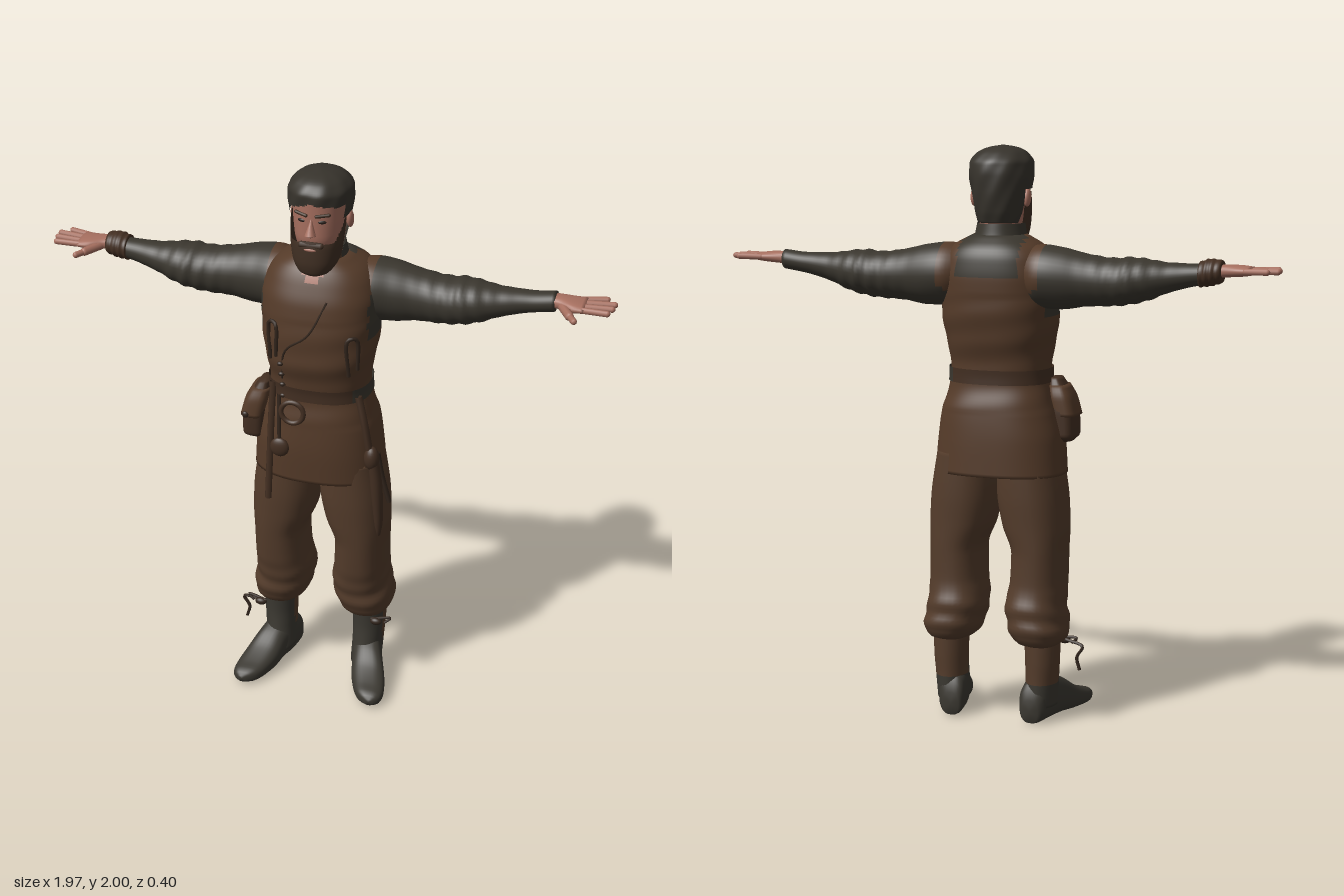
import * as THREE from 'three';

const mat = (name, color) => {
  const m = new THREE.MeshStandardMaterial({ color, side: THREE.DoubleSide });
  m.name = name;
  return m;
};

// Smooth monotone interpolation of section rows [t, centre, halfWidth, low, high]
function at(S, t) {
  let i = 0;
  while (i < S.length - 2 && t > S[i + 1][0]) i++;
  const slope = (k, c) => (S[k + 1][c] - S[k][c]) / (S[k + 1][0] - S[k][0]);
  const tangent = (k, c) => {
    if (k === 0) return slope(0, c);
    if (k === S.length - 1) return slope(k - 1, c);
    const a = slope(k - 1, c), b = slope(k, c);
    return a * b > 0 ? 2 * a * b / (a + b) : 0;
  };
  const h = S[i + 1][0] - S[i][0], u = (t - S[i][0]) / h, u2 = u * u, u3 = u2 * u;
  return [1, 2, 3, 4].map(c => S[i][c] * (2 * u3 - 3 * u2 + 1) + S[i + 1][c] * (3 * u2 - 2 * u3)
    + h * (tangent(i, c) * (u3 - 2 * u2 + u) + tangent(i + 1, c) * (u3 - u2)));
}

// Skin rounded sections along an axis; pick chooses a material per quad, -1 leaves it open
function loft(name, S, mats, o = {}) {
  const { axis = 'y', s = 1, n = 2, rows = 30, seg = 36, pick = () => 0, fold = () => 1, cap = true } = o;
  const t0 = S[0][0], t1 = S[S.length - 1][0], pos = [], groups = mats.map(() => []);
  const sp = v => Math.sign(v) * Math.abs(v) ** (2 / n);
  const first = cap ? -1 : 0, last = cap ? rows + 1 : rows;
  for (let i = first; i <= last; i++) {
    const t = t0 + (t1 - t0) * Math.min(1, Math.max(0, i / rows));
    const [c, r, lo, hi] = at(S, t), shut = i < 0 || i > rows ? 0 : 1;
    for (let j = 0; j < seg; j++) {
      const a = j / seg * Math.PI * 2, k = shut * fold(t, a);
      const u = c + r * k * sp(Math.cos(a)), v = (lo + hi) / 2 + (hi - lo) / 2 * k * sp(Math.sin(a));
      const p = axis === 'y' ? [u, t, v] : axis === 'x' ? [t, v, u] : [u, v, t];
      pos.push(p[0] * s, p[1], p[2]);
    }
  }
  const flip = (axis === 'z') !== (s < 0);
  for (let i = 0; i < last - first; i++) for (let j = 0; j < seg; j++) {
    const a = i * seg + j, b = i * seg + (j + 1) % seg, c = a + seg, d = b + seg;
    const m = [0, 1, 2].map(k => (pos[a * 3 + k] + pos[b * 3 + k] + pos[c * 3 + k] + pos[d * 3 + k]) / 4);
    const g = pick(...m);
    if (g >= 0) groups[g].push(...(flip ? [a, b, c, b, d, c] : [a, c, b, b, c, d]));
  }
  const geo = new THREE.BufferGeometry();
  geo.setAttribute('position', new THREE.Float32BufferAttribute(pos, 3));
  geo.setIndex(groups.flat());
  let start = 0;
  groups.forEach((g, k) => { geo.addGroup(start, g.length, k); start += g.length; });
  geo.computeVertexNormals();
  const mesh = new THREE.Mesh(geo, mats);
  mesh.name = name;
  return mesh;
}

export function createModel() {
  const root = new THREE.Group();
  root.name = 'beardedMan';
  const cloth = mat('brown cloth', 0x553b29), trouser = mat('trouser brown', 0x543c2b);
  const dark = mat('dark shirt', 0x3a362e), skin = mat('skin', 0xa66f5f), hair = mat('hair', 0x37332c);
  const beard = mat('beard', 0x402f23), boot = mat('boot', 0x3b3831), leather = mat('leather', 0x432f22);
  const ink = mat('eye dark', 0x2a201b), cord = mat('cord', 0x33261d);
  const add = (...m) => root.add(...m);
  const put = (name, geo, m, p, r = [0, 0, 0], sc = [1, 1, 1]) => {
    const mesh = new THREE.Mesh(geo, m);
    mesh.name = name;
    mesh.position.set(...p); mesh.rotation.set(...r); mesh.scale.set(...sc);
    add(mesh);
    return mesh;
  };
  const ball = (name, m, p, sc, r) => put(name, new THREE.SphereGeometry(1, 20, 14), m, p, r, sc);
  const tube = (name, m, pts, r) => put(name, new THREE.TubeGeometry(
    new THREE.CatmullRomCurve3(pts.map(p => new THREE.Vector3(...p))), 24, r, 6), m, [0, 0, 0]);
  const capsule = (name, m, a, b, r) => {
    const A = new THREE.Vector3(...a), B = new THREE.Vector3(...b), d = B.clone().sub(A);
    const mesh = put(name, new THREE.CapsuleGeometry(r, d.length(), 5, 10), m, A.clone().add(B).multiplyScalar(0.5).toArray());
    mesh.quaternion.setFromUnitVectors(new THREE.Vector3(0, 1, 0), d.normalize());
  };

  // Tunic: skirt, waist, chest, shoulders, with open neck and dark yoke
  const torso = [[0.88, -0.005, 0.232, -0.19, 0.135], [1.0, -0.005, 0.222, -0.185, 0.14], [1.1, 0, 0.203, -0.175, 0.135],
    [1.21, 0, 0.174, -0.152, 0.122], [1.26, 0, 0.174, -0.155, 0.13], [1.35, 0, 0.19, -0.175, 0.15], [1.45, 0, 0.202, -0.19, 0.148],
    [1.55, 0, 0.205, -0.193, 0.135], [1.62, 0, 0.188, -0.185, 0.11], [1.66, 0, 0.16, -0.168, 0.09], [1.7, 0, 0.09, -0.12, 0.06]];
  add(loft('tunic', torso, [cloth, dark, skin], { n: 2.4, rows: 72, seg: 72,
    fold: (t, a) => 1 + (t < 1.5 && t > 1.1 ? 0.008 * Math.sin(t * 60 + 2 * a) : 0),
    pick: (x, y, z) => z > 0.02 && Math.abs(x) < (y - 1.615) * 0.7 ? 2
      : (y > 1.56 && z < -0.04 && Math.abs(x) < 0.11) || (Math.abs(x) > 0.185 && y > 1.43) ? 1 : 0 }));
  const onFront = (x, y, lift = 0.006) => {
    const [c, r, lo, hi] = at(torso, y), q = Math.min(1, Math.abs((x - c) / r));
    return [x, y, (lo + hi) / 2 + (hi - lo) / 2 * (1 - q ** 2.4) ** (1 / 2.4) + lift];
  };
  add(loft('belt', [1.195, 1.22, 1.245].map(y => { const [c, r, lo, hi] = at(torso, y); return [y, c, r + 0.006, lo - 0.006, hi + 0.006]; }),
    [leather, dark], { n: 2.4, rows: 4, seg: 60, cap: false, pick: x => x > 0.14 ? 1 : 0 }));
  add(loft('collar', [[1.63, 0, 0.11, -0.15, 0.085], [1.69, 0, 0.09, -0.12, 0.075], [1.745, 0, 0.08, -0.108, 0.08]], [dark, cloth],
    { rows: 16, seg: 60, cap: false, pick: (x, y, z) => y > 1.735 + (z > 0 ? -z * 0.5 : 0) || (z > 0 && Math.abs(x) < 0.015 + (y - 1.62) * 0.6) ? -1 : z > 0.02 ? 1 : 0 }));

  // Chest seam and lacing
  tube('tunicSeam', cord, [[0.06, 1.58], [0, 1.46], [-0.08, 1.39], [-0.1, 1.27]].map(p => onFront(...p, 0.001)), 0.004);
  [[-0.13, 1.42], [0.145, 1.39]].forEach(([x, y]) => {
    tube('chestLace', cord, [[x - 0.012, y - 0.08], [x - 0.012, y + 0.06], [x + 0.012, y + 0.06], [x + 0.014, y - 0.06]].map(p => onFront(...p)), 0.007);
  });
  for (let i = 0; i < 4; i++) ball('toggle', cord, onFront(-0.1, 1.2 + i * 0.045, 0.004), [0.011, 0.008, 0.008]);

  // Head and neck
  add(loft('head', [[1.58, 0, 0.075, -0.09, 0.05], [1.68, 0, 0.064, -0.09, 0.05], [1.74, 0, 0.074, -0.1, 0.085], [1.79, 0, 0.082, -0.105, 0.102],
    [1.86, 0, 0.088, -0.11, 0.102], [1.92, 0, 0.088, -0.11, 0.102], [1.97, 0, 0.05, -0.07, 0.06]], [skin], { n: 2.2 }));
  add(loft('beard', [[1.655, 0, 0.03, 0.03, 0.095], [1.668, 0, 0.056, -0.01, 0.112], [1.71, 0, 0.078, -0.04, 0.12], [1.76, 0, 0.086, -0.05, 0.118],
    [1.8, 0, 0.089, -0.06, 0.11], [1.87, 0, 0.093, -0.06, 0.104]], [beard], { n: 2.3, rows: 40, seg: 72,
    pick: (x, y, z) => z < -0.03 || (y > 1.785 - Math.abs(x) * 0.1 && z > 0.15 - (y - 1.7) * 0.85) ? -1 : 0 }));
  add(loft('hair', [[1.74, 0, 0.075, -0.108, 0.06], [1.78, 0, 0.088, -0.122, 0.1], [1.85, 0, 0.1, -0.132, 0.112], [1.9, 0.002, 0.108, -0.134, 0.118],
    [1.94, 0.003, 0.107, -0.128, 0.122], [1.972, 0.002, 0.086, -0.1, 0.102], [1.992, 0, 0.05, -0.06, 0.062], [2.0, 0, 0.004, -0.01, 0.01]], [hair],
    { n: 2.1, rows: 48, seg: 72, fold: (t, a) => 1 + 0.012 * Math.sin(9 * a + t * 50),
      pick: (x, y, z) => z < -0.045 || (y > 1.855 && z < 0.045) || y > 1.918 - Math.abs(x) * 0.25 + x * 0.08 ? 0 : -1 }));
  put('nose', new THREE.ConeGeometry(0.019, 0.062, 12), skin, [0, 1.836, 0.106], [-0.22, 0, 0]);
  ball('noseTip', skin, [0, 1.812, 0.112], [0.017, 0.012, 0.014]);
  ball('mouth', skin, [0, 1.757, 0.115], [0.022, 0.006, 0.006]);
  capsule('moustache', beard, [-0.033, 1.771, 0.106], [0.033, 1.771, 0.106], 0.011);
  for (const s of [-1, 1]) {
    ball('eye', ink, [s * 0.035, 1.851, 0.094], [0.014, 0.006, 0.005], [0, s * 0.3, 0]);
    capsule('eyebrow', beard, [s * 0.018, 1.872, 0.102], [s * 0.056, 1.876, 0.088], 0.006);
    ball('ear', skin, [s * 0.096, 1.825, -0.022], [0.012, 0.032, 0.02], [0.2, 0, 0]);
  }

  for (const s of [-1, 1]) {
    // Sleeve with bunched folds at the elbow
    add(loft('sleeve', [[0.09, -0.06, 0.08, 1.5, 1.655], [0.17, -0.07, 0.11, 1.455, 1.672], [0.24, -0.077, 0.1, 1.455, 1.664],
      [0.33, -0.076, 0.087, 1.468, 1.644], [0.42, -0.073, 0.086, 1.472, 1.633], [0.48, -0.072, 0.09, 1.48, 1.637], [0.54, -0.071, 0.076, 1.495, 1.632],
      [0.6, -0.071, 0.058, 1.52, 1.624], [0.7, -0.075, 0.042, 1.548, 1.622], [0.785, -0.077, 0.037, 1.562, 1.63]], [dark, cloth],
      { axis: 'x', s, rows: 60, fold: (t, a) => 1 + 0.035 * Math.exp(-(((t - 0.48) / 0.12) ** 2)) * Math.sin(t * 120 + 2 * Math.sin(a)),
        pick: (x, y) => Math.abs(x) < 0.185 && y > 1.52 ? 1 : 0 }));
    // Hand
    add(loft('palm', [[0.75, -0.077, 0.028, 1.575, 1.622], [0.8, -0.071, 0.035, 1.58, 1.622], [0.85, -0.06, 0.05, 1.583, 1.62], [0.885, -0.062, 0.053, 1.588, 1.616]],
      [skin], { axis: 'x', s, n: 2.4, rows: 14, seg: 24 }));
    [[-0.104, -0.12, 0.945], [-0.077, -0.088, 0.975], [-0.048, -0.053, 0.972], [-0.022, -0.016, 0.962]].forEach(([z0, z1, x]) =>
      capsule('finger', skin, [s * 0.87, 1.602, z0], [s * x, 1.604, z1], 0.0105));
    capsule('thumb', skin, [s * 0.81, 1.596, -0.045], [s * 0.845, 1.594, 0.015], 0.015);
    capsule('thumbTip', skin, [s * 0.845, 1.594, 0.015], [s * 0.865, 1.592, 0.045], 0.011);

    // Baggy trouser leg gathered below the knee
    add(loft('trouserLeg', [[0.28, 0.167, 0.058, -0.135, 0.015], [0.3, 0.162, 0.088, -0.18, 0.05], [0.35, 0.155, 0.104, -0.192, 0.066], [0.42, 0.143, 0.103, -0.186, 0.075],
      [0.5, 0.148, 0.096, -0.166, 0.09], [0.6, 0.15, 0.094, -0.164, 0.1], [0.7, 0.134, 0.113, -0.165, 0.108], [0.8, 0.122, 0.12, -0.167, 0.112],
      [0.95, 0.11, 0.108, -0.165, 0.11]], [trouser], { s, n: 2.3, rows: 54,
      fold: (t, a) => 1 + 0.03 * Math.exp(-(((t - 0.37) / 0.08) ** 2)) * Math.sin(t * 85 + 3 * Math.sin(a)) }));
    // Wrapped shin and boot shaft
    add(loft('bootShaft', [[0.06, 0.165, 0.055, -0.135, 0.04], [0.15, 0.168, 0.057, -0.135, 0.012], [0.22, 0.17, 0.06, -0.137, 0.004], [0.31, 0.17, 0.063, -0.138, 0.008]],
      [boot, trouser], { s, rows: 24, pick: (x, y, z) => y < 0.14 || (z > -0.045 && y < 0.275) ? 0 : 1 }));
    // Foot turned outward
    add(loft('bootFoot', [[-0.143, 0.147, 0.03, 0.01, 0.09], [-0.125, 0.15, 0.046, 0.004, 0.14], [-0.05, 0.165, 0.056, 0.005, 0.17], [0.01, 0.185, 0.058, 0.008, 0.145],
      [0.08, 0.207, 0.063, 0.006, 0.098], [0.14, 0.226, 0.057, 0.006, 0.072], [0.18, 0.237, 0.042, 0.01, 0.06], [0.2, 0.242, 0.015, 0.02, 0.045]],
      [boot], { axis: 'z', s, n: 2.6, rows: 32 }));
    // Knee ties
    ball('tieKnot', cord, [s * 0.22, 0.272, 0.03], [0.022, 0.014, 0.014]);
    tube('kneeTie', cord, [[s * 0.2, 0.28, 0.03], [s * 0.27, 0.285, 0.015], [s * 0.25, 0.265, 0.02]], 0.005);
  }
  tube('tieEnd', cord, [[-0.23, 0.275, 0.02], [-0.295, 0.26, 0], [-0.275, 0.22, 0], [-0.285, 0.175, 0]], 0.006);

  // Wrist band
  add(loft('wristBand', [[0.715, -0.076, 0.046, 1.546, 1.63], [0.75, -0.077, 0.05, 1.55, 1.64], [0.79, -0.076, 0.043, 1.562, 1.636]], [leather],
    { axis: 'x', s: -1, rows: 16, fold: t => 1 + 0.04 * Math.sin(t * 300) }));

  // Belt pouch with flap
  add(loft('pouch', [[0.99, -0.225, 0.025, -0.02, 0.06], [1.01, -0.225, 0.042, -0.045, 0.085], [1.08, -0.222, 0.043, -0.045, 0.088], [1.16, -0.205, 0.034, -0.035, 0.075],
    [1.21, -0.19, 0.018, -0.015, 0.055]], [leather], { n: 3 }));
  add(loft('pouchFlap', [[1.08, -0.228, 0.045, -0.045, 0.092], [1.14, -0.214, 0.043, -0.043, 0.086], [1.185, -0.2, 0.034, -0.03, 0.07]], [cloth], { n: 3, rows: 10 }));
  ball('pouchButton', cord, [-0.245, 1.09, 0.09], [0.012, 0.012, 0.008]);

  // Hanging straps, ring and purse
  tube('longStrap', leather, [[-0.14, 1.24], [-0.142, 1.1], [-0.145, 0.96]].map(p => onFront(...p, 0.01)).concat([[-0.148, 0.8, 0.14]]), 0.012);
  tube('thinStrap', cord, [[-0.115, 1.2], [-0.11, 1.1], [-0.105, 1.02]].map(p => onFront(...p, 0.008)), 0.007);
  ball('smallPurse', leather, onFront(-0.105, 1.01, 0.008), [0.034, 0.036, 0.016]);
  put('beltRing', new THREE.TorusGeometry(0.04, 0.009, 8, 28), leather, onFront(-0.06, 1.15, 0.008));

  // Sheath and strap on the left hip
  tube('sheathHanger', leather, [[0.16, 1.22, 0.08], [0.185, 1.12, 0.09], [0.205, 1.0, 0.085]], 0.013);
  ball('sheathMouth', leather, [0.21, 0.99, 0.085], [0.027, 0.045, 0.026]);
  add(loft('sheath', [[0.665, 0.232, 0.006, 0.05, 0.065], [0.72, 0.232, 0.015, 0.045, 0.08], [0.88, 0.226, 0.021, 0.055, 0.1], [1.0, 0.212, 0.018, 0.06, 0.105]],
    [leather], { rows: 16, seg: 16 }));
  tube('sheathStrap', cord, [[0.225, 1.0, 0.06], [0.24, 0.9, 0.05], [0.265, 0.8, 0.045]], 0.009);
  return root;
}
